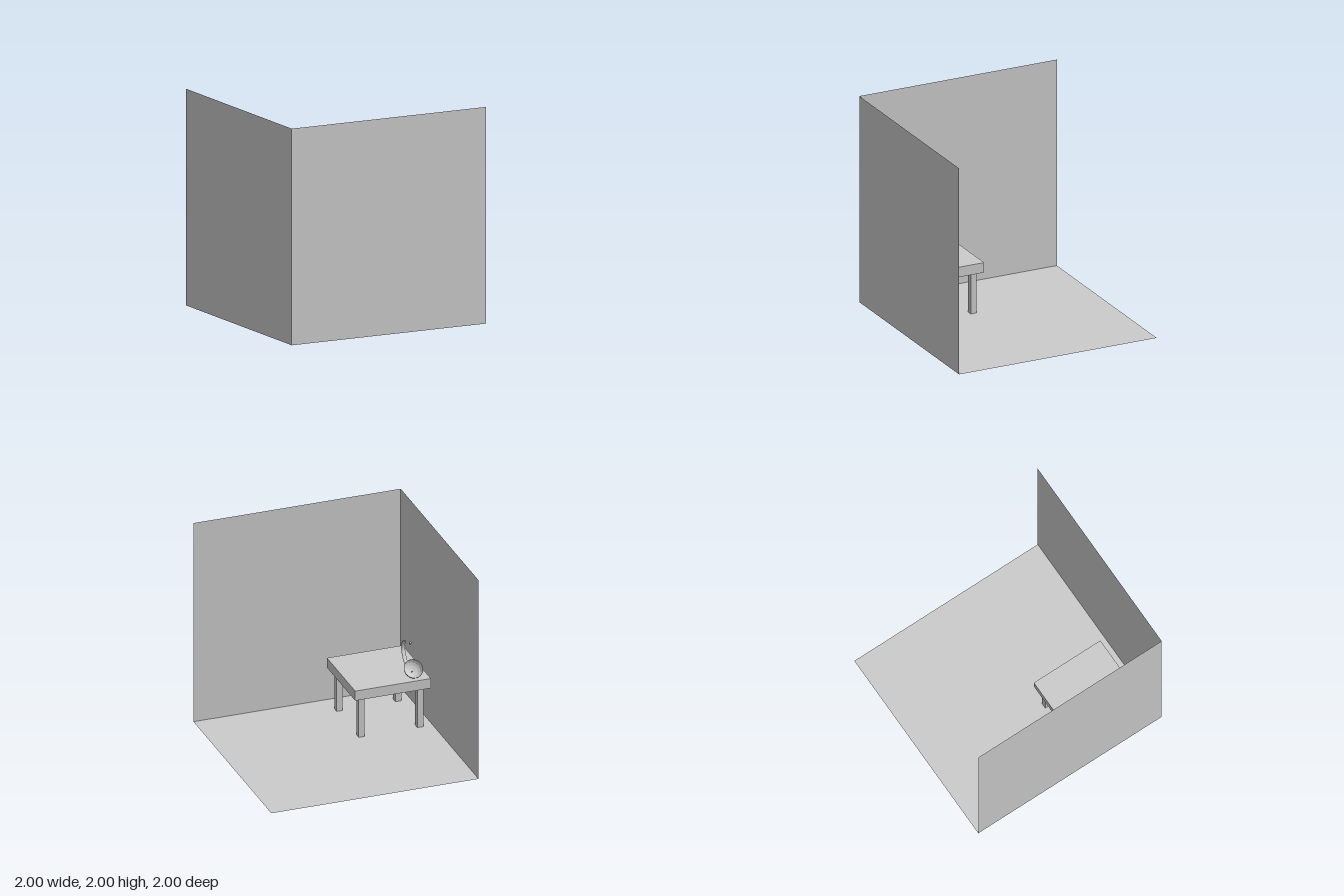
import * as THREE from 'three';

export function createModel() {
  const root = new THREE.Group();
  const solid = new THREE.MeshStandardMaterial({ color: 0xcccccc, flatShading: true });
  const thin = new THREE.MeshStandardMaterial({ color: 0xcccccc, flatShading: true, side: THREE.DoubleSide });

  const add = (name, geometry, material, x, y, z, parent = root) => {
    const mesh = new THREE.Mesh(geometry, material);
    mesh.name = name;
    mesh.position.set(x, y, z);
    parent.add(mesh);
    return mesh;
  };

  // Room corner: floor and two paper-thin walls
  const panel = new THREE.PlaneGeometry(2, 2);
  add('floor', panel, thin, 0, 0, 0).rotation.x = -Math.PI / 2;
  add('frontWall', panel, thin, 0, 1, 1);
  add('sideWall', panel, thin, -1, 1, 0).rotation.y = Math.PI / 2;

  // Square table with four inset legs
  const table = new THREE.Group();
  table.name = 'table';
  table.position.set(-0.597, 0, 0.487);
  root.add(table);
  add('tableTop', new THREE.BoxGeometry(0.73, 0.097, 0.725), solid, 0, 0.45, 0, table);
  const legGeometry = new THREE.BoxGeometry(0.057, 0.402, 0.057);
  for (const sx of [-1, 1]) {
    for (const sz of [-1, 1]) {
      add('tableLeg', legGeometry, solid, sx * 0.283, 0.201, sz * 0.283, table);
    }
  }

  // Lamp on the table
  const lamp = new THREE.Group();
  lamp.name = 'lamp';
  lamp.position.x = -0.826;
  root.add(lamp);

  // Open shallow bowl, tilted so its mouth faces up and back
  const bowlGeometry = new THREE.SphereGeometry(0.092, 14, 5, 0, Math.PI * 2, Math.PI / 2, Math.PI / 2);
  bowlGeometry.scale(1, 0.76, 1);
  add('lampBowl', bowlGeometry, thin, 0, 0.584, 0.206, lamp).rotation.x = -Math.PI / 4;

  // Curved flat arm, narrowing to a neck where it meets the bowl
  const path = new THREE.CatmullRomCurve3([
    [0.752, 0.449], [0.705, 0.472], [0.648, 0.471], [0.567, 0.417],
    [0.512, 0.322], [0.514, 0.27], [0.535, 0.245],
  ].map(([y, z]) => new THREE.Vector3(0, y, z)));
  const armGeometry = new THREE.TubeGeometry(path, 18, 0.006, 6, false);
  const p = armGeometry.attributes.position;
  for (let i = 0; i < p.count; i++) {
    const taper = THREE.MathUtils.smoothstep(p.getZ(i), 0.23, 0.31);
    p.setX(i, p.getX(i) * (1.2 + 1.9 * taper));
  }
  armGeometry.computeVertexNormals();
  add('lampArm', armGeometry, thin, 0, 0, 0, lamp);

  // Small ball floating above the bowl
  add('smallBall', new THREE.SphereGeometry(0.014, 8, 6), solid, 0, 0.803, 0.292, lamp);

  return root;
}
